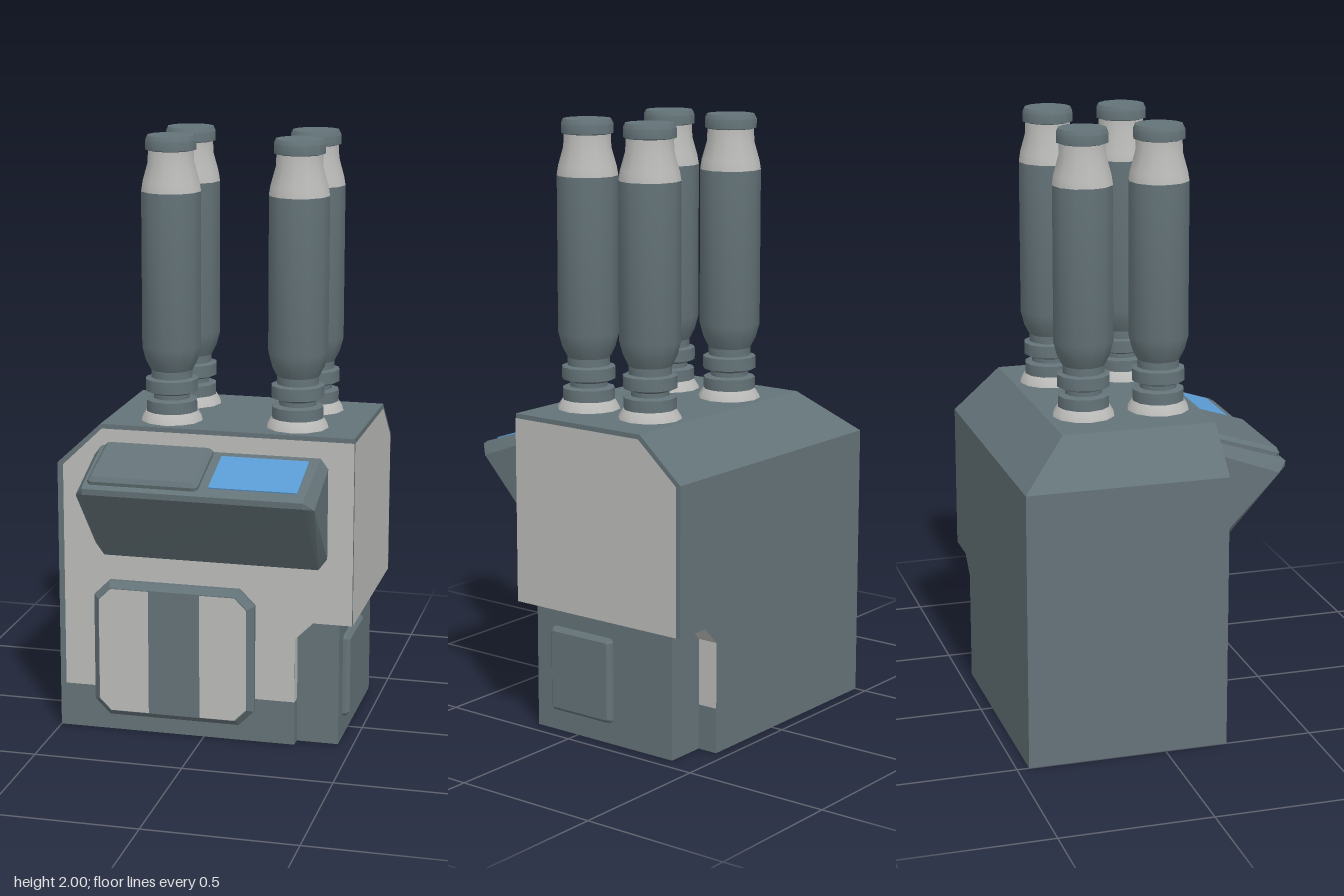
import * as THREE from 'three';
import { ConvexGeometry } from 'three/addons/geometries/ConvexGeometry.js';
import { toCreasedNormals } from 'three/addons/utils/BufferGeometryUtils.js';

const material = (name, color) => {
  const m = new THREE.MeshStandardMaterial({ color });
  m.name = name;
  return m;
};

const toShape = pts => new THREE.Shape(pts.map(([x, y]) => new THREE.Vector2(x, y)));

// Rectangle with clipped corners
const clippedRect = (x0, y0, x1, y1, c) => toShape([
  [x0 + c, y0], [x1 - c, y0], [x1, y0 + c], [x1, y1 - c],
  [x1 - c, y1], [x0 + c, y1], [x0, y1 - c], [x0, y0 + c],
]);

const bevelled = (shape, depth, bevel) => new THREE.ExtrudeGeometry(shape, {
  depth, bevelEnabled: true, bevelSize: bevel, bevelThickness: bevel, bevelSegments: 1,
});

export function createModel() {
  const model = new THREE.Group();
  const dark = material('slate', 0x647378);
  const light = material('paleGrey', 0xbcbcba);
  const blue = material('screenBlue', 0x5a9bd2);

  const add = (name, geometry, mat, parent = model) => {
    const mesh = new THREE.Mesh(geometry, mat);
    mesh.name = name;
    parent.add(mesh);
    return mesh;
  };

  // Housing: one outline lofted through three depths, the last sloping down at the back
  const outline = [
    [-0.5, 0], [0.31, 0], [0.31, 0.15], [0.31, 0.37], [0.37, 0.43],
    [0.5, 0.43], [0.5, 1.06], [-0.35, 1.06], [-0.5, 0.92],
  ];
  const backOutline = outline.map(([x, y]) => (y > 1 ? [x < 0 ? -0.5 : x, 0.92] : [x, y]));
  const rings = [[backOutline, -0.46], [outline, -0.3], [outline, 0.21]]
    .map(([pts, z]) => pts.map(([x, y]) => [x, y, z]));
  const darkFaces = [], lightFaces = [];
  for (let k = 0; k < 2; k++) {
    for (let i = 0; i < outline.length; i++) {
      const j = (i + 1) % outline.length;
      const [a, b, c, d] = [rings[k][i], rings[k][j], rings[k + 1][j], rings[k + 1][i]];
      // The notch walls are pale, the rest of the shell is dark
      (i >= 2 && i <= 4 ? lightFaces : darkFaces).push(...a, ...b, ...c, ...a, ...c, ...d);
    }
  }
  const faces = list => {
    const g = new THREE.BufferGeometry();
    g.setAttribute('position', new THREE.Float32BufferAttribute(list, 3));
    g.computeVertexNormals();
    return g;
  };
  add('housingShell', faces(darkFaces), dark);
  add('notchWalls', faces(lightFaces), light);
  add('housingFront', new THREE.ShapeGeometry(toShape(outline)), dark).position.z = 0.21;
  const back = add('housingBack', new THREE.ShapeGeometry(
    toShape(backOutline.slice(0, 7).concat([[-0.5, 0.92]]).map(([x, y]) => [-x, y]))), dark);
  back.rotation.y = Math.PI;
  back.position.z = -0.46;

  // Pale cladding on the front and left side
  add('frontCladding', new THREE.ShapeGeometry(toShape([
    [-0.48, 0.15], [0.31, 0.15], [0.31, 0.37], [0.37, 0.43],
    [0.5, 0.43], [0.5, 1.045], [-0.345, 1.045], [-0.48, 0.915],
  ])), light).position.z = 0.212;
  const side = add('sideCladding', new THREE.ShapeGeometry(toShape([
    [-0.21, 0.43], [0.445, 0.43], [0.445, 0.915], [0.295, 1.045], [-0.21, 1.045],
  ])), light);
  side.rotation.y = Math.PI / 2;
  side.position.x = 0.502;

  // Recessed block under the overhang with its access panel
  add('sideBlock', new THREE.BoxGeometry(0.25, 0.43, 0.56), dark).position.set(0.325, 0.215, -0.11);
  const access = add('accessPanel', bevelled(clippedRect(-0.09, 0.085, 0.14, 0.345, 0.004), 0.02, 0.012), dark);
  access.rotation.y = Math.PI / 2;
  access.position.x = 0.441;

  // Front hatch with two pale fields beside a dark stripe
  add('hatchFrame', bevelled(clippedRect(-0.352, 0.08, 0.156, 0.51, 0.04), 0.04, 0.02), dark).position.z = 0.19;
  for (const [name, inner, outer, s] of [['hatchFieldRight', -0.18, -0.35, 1], ['hatchFieldLeft', -0.005, 0.154, -1]]) {
    add(name, new THREE.ShapeGeometry(toShape([
      [inner, 0.082], [inner, 0.508], [outer + s * 0.04, 0.508],
      [outer, 0.468], [outer, 0.122], [outer + s * 0.04, 0.082],
    ])), light).position.z = 0.252;
  }

  // Wedge console: each row is depth, height and inset from the ends
  const console = new THREE.Group();
  console.name = 'console';
  model.add(console);
  const hull = [];
  for (const [z, y, inset] of [
    [0.2, 0.993, 0.025], [0.2, 0.96, 0], [0.2, 0.64, 0], [0.2, 0.6, 0.03],
    [0.425, 0.875, 0], [0.44, 0.916, 0.03], [0.457, 0.905, 0.03], [0.455, 0.885, 0.03],
  ]) {
    hull.push(new THREE.Vector3(-0.37 + inset, y, z), new THREE.Vector3(0.415 - inset, y, z));
  }
  add('consoleBody', toCreasedNormals(new ConvexGeometry(hull), 0.5), dark, console);

  // Keypad and screen lie on the sloping top
  const tilt = Math.atan(0.32);
  const top = new THREE.Group();
  top.name = 'consoleTop';
  top.rotation.x = tilt - Math.PI / 2;
  top.position.set(0, 0.952, 0.328);
  console.add(top);
  add('keypadCover', bevelled(clippedRect(-0.315, -0.105, 0.025, 0.105, 0.003), 0.012, 0.013), dark, top);
  add('screen', new THREE.BoxGeometry(0.29, 0.19, 0.008), blue, top).position.set(0.213, 0, 0);

  // Four stacks, turned from profiles of radius and height
  const stackParts = [
    ['stackFoot', light, [[0.105, 1.055], [0.1, 1.07], [0.086, 1.092]]],
    ['stackCollar', dark, [[0.07, 1.09], [0.086, 1.09], [0.086, 1.13], [0.062, 1.135], [0.062, 1.15],
      [0.088, 1.16], [0.088, 1.2], [0.07, 1.205], [0.07, 1.23]]],
    ['stackBarrel', dark, [[0.07, 1.23], [0.088, 1.265], [0.1, 1.31], [0.1, 1.82]]],
    ['stackNeck', light, [[0.1, 1.82], [0.095, 1.85], [0.078, 1.91], [0.076, 1.955]]],
    ['stackCap', dark, [[0.07, 1.95], [0.085, 1.955], [0.085, 1.985], [0.078, 2], [0, 2]]],
  ].map(([name, mat, pts]) => [name, toCreasedNormals(
    new THREE.LatheGeometry(pts.map(([r, y]) => new THREE.Vector2(r, y)), 12), 0.6), mat]);
  for (const x of [-0.14, 0.285]) {
    for (const z of [0.082, -0.172]) {
      const stack = new THREE.Group();
      stack.name = 'stack';
      stack.position.set(x, 0, z);
      for (const [name, geometry, mat] of stackParts) add(name, geometry, mat, stack);
      model.add(stack);
    }
  }
  return model;
}
